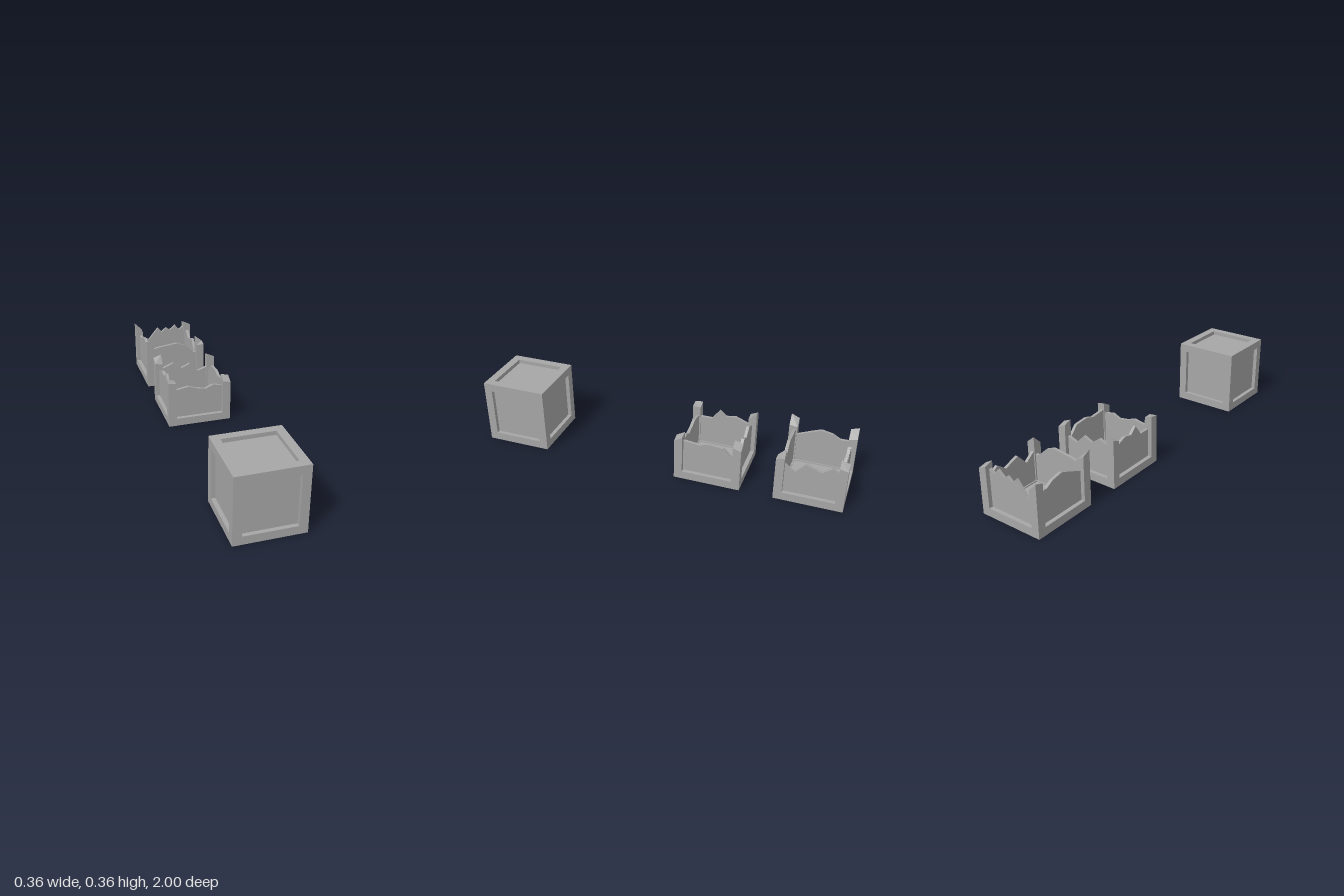
import * as THREE from 'three';

const H = 0.1785;        // half the crate size
const B = 0.044;         // frame bar thickness
const P = 0.157;         // outer plane of the recessed panels
const T = 0.016;         // thickness of a broken wall
const I = H - B;         // inner edge of the frame
const C = H - B / 2;     // bar centre line

const grey = new THREE.MeshStandardMaterial({ color: 0xa6a6a6 });
grey.name = 'crate grey';

function add(group, name, geometry, x = 0, y = 0, z = 0) {
  const mesh = new THREE.Mesh(geometry, grey);
  mesh.name = name;
  mesh.position.set(x, y, z);
  group.add(mesh);
  return mesh;
}

// Four horizontal bars fitted between the corner posts
function rails(group, name, y) {
  for (const s of [-1, 1]) {
    add(group, name, new THREE.BoxGeometry(2 * I, B, B), 0, y, s * C);
    add(group, name, new THREE.BoxGeometry(B, B, 2 * I), s * C, y, 0);
  }
}

// Corner post with a splintered top: heights of the outer corner,
// the corner inward along x, the corner inward along z, and the inner corner
function brokenPost(group, sx, sz, heights) {
  const geo = new THREE.BoxGeometry(B, 1, B).toNonIndexed();
  const pos = geo.attributes.position;
  for (let i = 0; i < pos.count; i++) {
    const inX = pos.getX(i) * sx < 0 ? 1 : 0;
    const inZ = pos.getZ(i) * sz < 0 ? 2 : 0;
    pos.setY(i, pos.getY(i) > 0 ? heights[inX + inZ] : 0);
  }
  geo.computeVertexNormals();
  add(group, 'brokenPost', geo, sx * C, 0, sz * C);
}

// Wall plate with a jagged upper edge, given as [along, height] points
function jaggedWall(edge) {
  const shape = new THREE.Shape();
  shape.moveTo(-I, 0.03);
  shape.lineTo(I, 0.03);
  [...edge].sort((a, b) => b[0] - a[0]).forEach(([u, h]) => shape.lineTo(u, h));
  shape.closePath();
  return new THREE.ExtrudeGeometry(shape, { depth: T, bevelEnabled: false });
}

function wholeCrate() {
  const g = new THREE.Group();
  g.name = 'wholeCrate';
  for (const sx of [-1, 1]) for (const sz of [-1, 1]) {
    add(g, 'post', new THREE.BoxGeometry(B, 2 * H, B), sx * C, H, sz * C);
  }
  rails(g, 'bottomRail', B / 2);
  rails(g, 'topRail', 2 * H - B / 2);
  add(g, 'panels', new THREE.BoxGeometry(2 * P, 2 * P, 2 * P), 0, H, 0);
  return g;
}

function brokenCrate(name, posts, walls) {
  const g = new THREE.Group();
  g.name = name;
  posts.forEach(([sx, sz, heights]) => brokenPost(g, sx, sz, heights));
  rails(g, 'bottomRail', B / 2);
  add(g, 'floor', new THREE.BoxGeometry(2 * I, T, 2 * I), 0, H - P + T / 2, 0);
  add(g, 'frontWall', jaggedWall(walls.front), 0, 0, P - T);
  add(g, 'backWall', jaggedWall(walls.back), 0, 0, -P);
  add(g, 'leftWall', jaggedWall(walls.left).rotateY(-Math.PI / 2), P, 0, 0);
  add(g, 'rightWall', jaggedWall(walls.right).rotateY(-Math.PI / 2), -P + T, 0, 0);
  return g;
}

export function createModel() {
  const model = new THREE.Group();
  model.name = 'crates';

  const whole = wholeCrate();
  whole.position.z = 1 - H;

  // Side wall points run along z, front and back wall points along x
  const middle = brokenCrate('middleBrokenCrate', [
    [-1, 1, [0.268, 0.262, 0.275, 0.26]],
    [1, 1, [0.23, 0.24, 0.255, 0.265]],
    [1, -1, [0.24, 0.26, 0.255, 0.275]],
    [-1, -1, [0.27, 0.285, 0.25, 0.24]],
  ], {
    front: [[-I, 0.21], [-0.06, 0.223], [-0.01, 0.206], [0.04, 0.198], [0.083, 0.217], [I, 0.205]],
    back: [[-I, 0.21], [-0.07, 0.238], [-0.02, 0.2], [0.03, 0.222], [0.08, 0.17], [I, 0.19]],
    left: [[I, 0.225], [0.05, 0.215], [0.0, 0.23], [-0.08, 0.222], [-I, 0.165]],
    right: [[I, 0.2], [0.07, 0.2], [0.027, 0.258], [-0.01, 0.225], [-0.06, 0.235], [-I, 0.205]],
  });
  middle.position.z = -0.287;

  const rear = brokenCrate('rearBrokenCrate', [
    [-1, 1, [0.3, 0.255, 0.28, 0.25]],
    [1, 1, [0.243, 0.24, 0.25, 0.285]],
    [1, -1, [0.245, 0.265, 0.255, 0.28]],
    [-1, -1, [0.285, 0.24, 0.27, 0.23]],
  ], {
    front: [[-I, 0.235], [-0.09, 0.245], [0.017, 0.258], [0.064, 0.238], [0.12, 0.185], [I, 0.19]],
    back: [[I, 0.245], [0.105, 0.225], [0.08, 0.258], [0.045, 0.228], [0.02, 0.245],
      [-0.01, 0.22], [-0.035, 0.25], [-0.095, 0.178], [-I, 0.19]],
    left: [[I, 0.205], [0.085, 0.165], [0.03, 0.225], [-0.05, 0.195], [-0.1, 0.232], [-I, 0.21]],
    right: [[I, 0.2], [0.05, 0.235], [0.01, 0.25], [-0.05, 0.238], [-0.09, 0.215], [-I, 0.215]],
  });
  rear.position.z = -1 + H;

  model.add(whole, middle, rear);
  return model;
}
